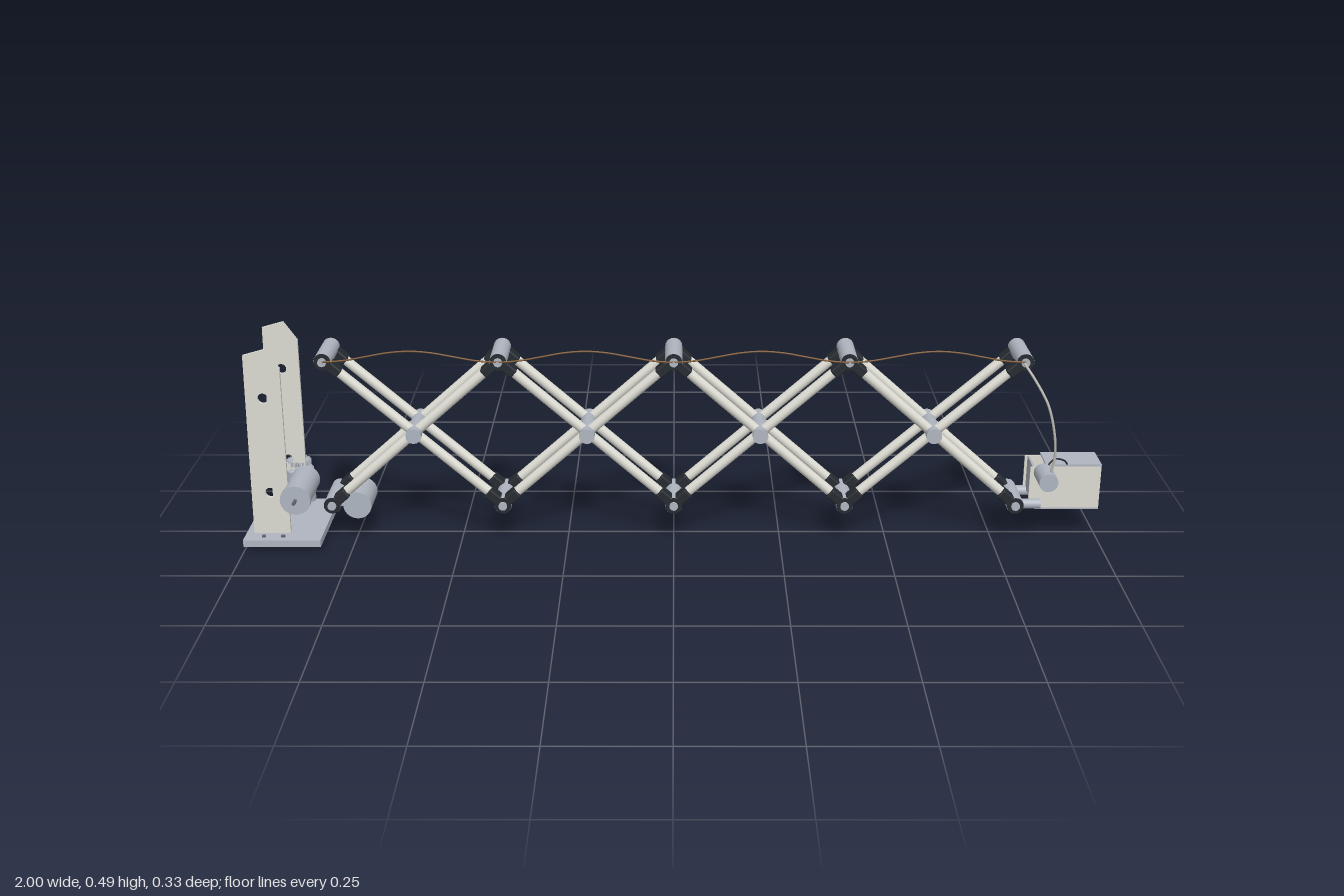
import * as THREE from 'three';
import { RoundedBoxGeometry } from 'three/addons/geometries/RoundedBoxGeometry.js';

const mat = (name, color) => {
  const m = new THREE.MeshStandardMaterial({ color });
  m.name = name;
  return m;
};

export function createModel() {
  const root = new THREE.Group();
  const steel = mat('blue grey steel', 0xafb5c0);
  const beige = mat('pale aluminium', 0xdcdbd2);
  const black = mat('black plastic', 0x262b31);
  const dark = mat('dark shaft metal', 0x62666e);
  const copper = mat('brown wire', 0x7a5630);
  const grey = mat('pale grey cable', 0xb9b9b0);

  const V = (x, y, z) => new THREE.Vector3(x, y, z);
  const add = (name, geo, material, x = 0, y = 0, z = 0, parent = root) => {
    const m = new THREE.Mesh(geo, material);
    m.name = name;
    m.position.set(x, y, z);
    parent.add(m);
    return m;
  };
  // Places a geometry modelled along y so that it spans two points
  const span = (name, geo, a, b, material, parent) => {
    const m = add(name, geo, material, 0, 0, 0, parent);
    m.position.copy(a).add(b).multiplyScalar(0.5);
    m.quaternion.setFromUnitVectors(V(0, 1, 0), b.clone().sub(a).normalize());
    return m;
  };
  const rod = (name, a, b, r, material, parent) =>
    span(name, new THREE.CylinderGeometry(r, r, a.distanceTo(b), 28), a, b, material, parent);
  const rodZ = (name, x, y, z0, z1, r, material, parent) => rod(name, V(x, y, z0), V(x, y, z1), r, material, parent);
  const box = (name, x0, x1, y0, y1, z0, z1, material, parent) =>
    add(name, new THREE.BoxGeometry(x1 - x0, y1 - y0, z1 - z0), material,
      (x0 + x1) / 2, (y0 + y1) / 2, (z0 + z1) / 2, parent);
  const wire = (name, pts, r, material) =>
    add(name, new THREE.TubeGeometry(new THREE.CatmullRomCurve3(pts), pts.length * 6, r, 16), material);
  const group = (name) => {
    const g = new THREE.Group();
    g.name = name;
    root.add(g);
    return g;
  };

  // Base plate and the two drilled uprights
  const base = group('base');
  box('basePlate', -1, -0.82, 0.013, 0.03, -0.13, 0.12, steel, base);
  const outline = new THREE.Shape([
    [-0.975, 0.042], [-0.89, 0.042], [-0.887, 0.445], [-0.918, 0.49], [-0.968, 0.476],
  ].map(([x, y]) => new THREE.Vector2(x, y)));
  for (const y of [0.144, 0.374]) {
    outline.holes.push(new THREE.Path().absarc(-0.93, y, 0.012, 0, Math.PI * 2, true));
  }
  const plateGeo = new THREE.ExtrudeGeometry(outline, { depth: 0.008, bevelEnabled: false, curveSegments: 12 });
  for (const z of [0.098, -0.112]) {
    add('upright', plateGeo, beige, 0, 0, z, base);
    for (const x of [-0.955, -0.91]) {
      rod('baseScrew', V(x, 0.028, z + 0.002), V(x, 0.034, z + 0.002), 0.005, dark, base);
    }
  }

  // Vertical motor with a toothed gear
  const lift = group('verticalMotor');
  const mx = -0.91, mz = -0.127;
  const can = [[0, 0.02], [0.035, 0.02], [0.035, 0.026], [0.033, 0.028], [0.035, 0.03],
    [0.035, 0.112], [0.03, 0.118], [0, 0.118]];
  const bodyGeo = new THREE.LatheGeometry(can.map(([r, y]) => new THREE.Vector2(r, y)), 32).toNonIndexed();
  bodyGeo.computeVertexNormals();
  add('motorBody', bodyGeo, steel, mx, 0, mz, lift);
  rod('motorShaft', V(mx, 0, mz), V(mx, 0.145, mz), 0.0045, dark, lift);
  const teeth = 18;
  const gear = new THREE.Shape(Array.from({ length: teeth * 4 }, (_, i) => {
    const a = (i / (teeth * 4)) * Math.PI * 2;
    const r = i % 4 < 2 ? 0.03 : 0.024;
    return new THREE.Vector2(r * Math.cos(a), r * Math.sin(a));
  }));
  const g = add('gear', new THREE.ExtrudeGeometry(gear, { depth: 0.011, bevelEnabled: false }), steel, mx, 0.124, mz, lift);
  g.rotation.x = -Math.PI / 2;
  rod('gearHub', V(mx, 0.118, mz), V(mx, 0.14, mz), 0.01, steel, lift);

  // Shoulder motor lying across the base
  const shoulder = group('shoulderMotor');
  rodZ('motorBody', -0.866, 0.14, 0.01, 0.132, 0.033, steel, shoulder);
  rodZ('motorCap', -0.866, 0.14, 0.132, 0.145, 0.035, steel, shoulder);
  rodZ('motorShaft', -0.866, 0.14, 0.145, 0.165, 0.004, dark, shoulder);

  // Drive motor beside the first lower joint
  const drive = group('driveMotor');
  rodZ('motorBody', -0.743, 0.086, -0.05, 0.045, 0.033, steel, drive);
  rodZ('motorShaft', -0.743, 0.062, -0.062, -0.05, 0.005, dark, drive);
  box('motorBracket', -0.79, -0.75, 0.08, 0.1, -0.035, 0.035, steel, drive);

  // Scissor linkage: joints, crossing rods and black end clamps
  const top = 0.444, low = 0.09, mid = 0.267;
  const linkage = group('scissorArm');
  for (let i = 0; i <= 4; i++) {
    const x = -0.8 + i * 0.4;
    for (const y of [top, low]) {
      rodZ('jointTube', x, y, -0.065, 0.055, 0.02, steel, linkage);
      rodZ('jointWasher', x, y, 0.054, 0.0565, 0.0195, black, linkage);
      rodZ('jointPin', x, y, y === top ? -0.066 : -0.074, 0.062, 0.01, steel, linkage);
    }
    rodZ('wireEyelet', x, top, 0.062, 0.067, 0.004, steel, linkage);
  }
  const clampGeo = new RoundedBoxGeometry(0.024, 0.037, 0.034, 2, 0.004);
  for (let i = 0; i < 4; i++) {
    const x = -0.6 + i * 0.4;
    rodZ('crossingTube', x, mid, -0.075, 0.066, 0.018, steel, linkage);
    for (const z of [0.0385, -0.051]) {
      for (const s of [1, -1]) {
        const a = V(x - 0.2, mid + s * (top - mid), z);
        const b = V(x + 0.2, mid - s * (top - mid), z);
        rod('linkRod', a, b, 0.0115, beige, linkage);
        for (const [p, q] of [[a, b], [b, a]]) {
          const d = q.clone().sub(p).normalize();
          span('rodClamp', clampGeo, p.clone().addScaledVector(d, 0.01), p.clone().addScaledVector(d, 0.047), black, linkage);
        }
      }
    }
  }

  // Open-ended gripper housing
  const head = group('gripperHousing');
  const side = new THREE.Shape([[0.834, 0.178], [1, 0.181], [1, 0.076], [0.85, 0.076], [0.834, 0.1]]
    .map(([x, y]) => new THREE.Vector2(x, y)));
  const sideGeo = new THREE.ExtrudeGeometry(side, { depth: 0.004, bevelEnabled: false });
  for (const z of [0.027, -0.046]) add('housingSide', sideGeo, beige, 0, 0, z, head);
  box('housingFloor', 0.85, 1, 0.072, 0.076, -0.046, 0.031, steel, head);
  box('housingLid', 0.87, 1, 0.181, 0.185, -0.048, 0.033, steel, head);
  box('housingBack', 0.84, 0.845, 0.095, 0.178, -0.042, 0.027, steel, head);
  for (const z of [0.041, -0.041]) {
    rod('housingArm', V(0.8, 0.09, z), V(0.86, 0.09, z), 0.012, steel, head);
  }
  rodZ('gripperMotor', 0.861, 0.172, 0.046, 0.116, 0.022, steel, head);
  rodZ('gripperCoupling', 0.861, 0.168, 0.03, 0.046, 0.011, beige, head);

  // Wires along the upper joints and down to the gripper
  const run = [];
  for (let i = 0; i <= 32; i++) {
    run.push(V(-0.8 + i * 0.05, 0.447 + 0.026 * Math.sin((i * Math.PI) / 8) ** 2, 0.065));
  }
  wire('topWire', run, 0.002, copper);
  wire('hangingCable', [
    V(0.795, 0.446, 0.064), V(0.82, 0.41, 0.085), V(0.848, 0.36, 0.102), V(0.865, 0.3, 0.107),
    V(0.873, 0.235, 0.103), V(0.866, 0.185, 0.1),
  ], 0.003, grey);
  wire('motorLead', [V(0.87, 0.19, 0.05), V(0.885, 0.204, 0.046), V(0.91, 0.197, 0.037), V(0.92, 0.184, 0.029)], 0.002, black);

  return root;
}
